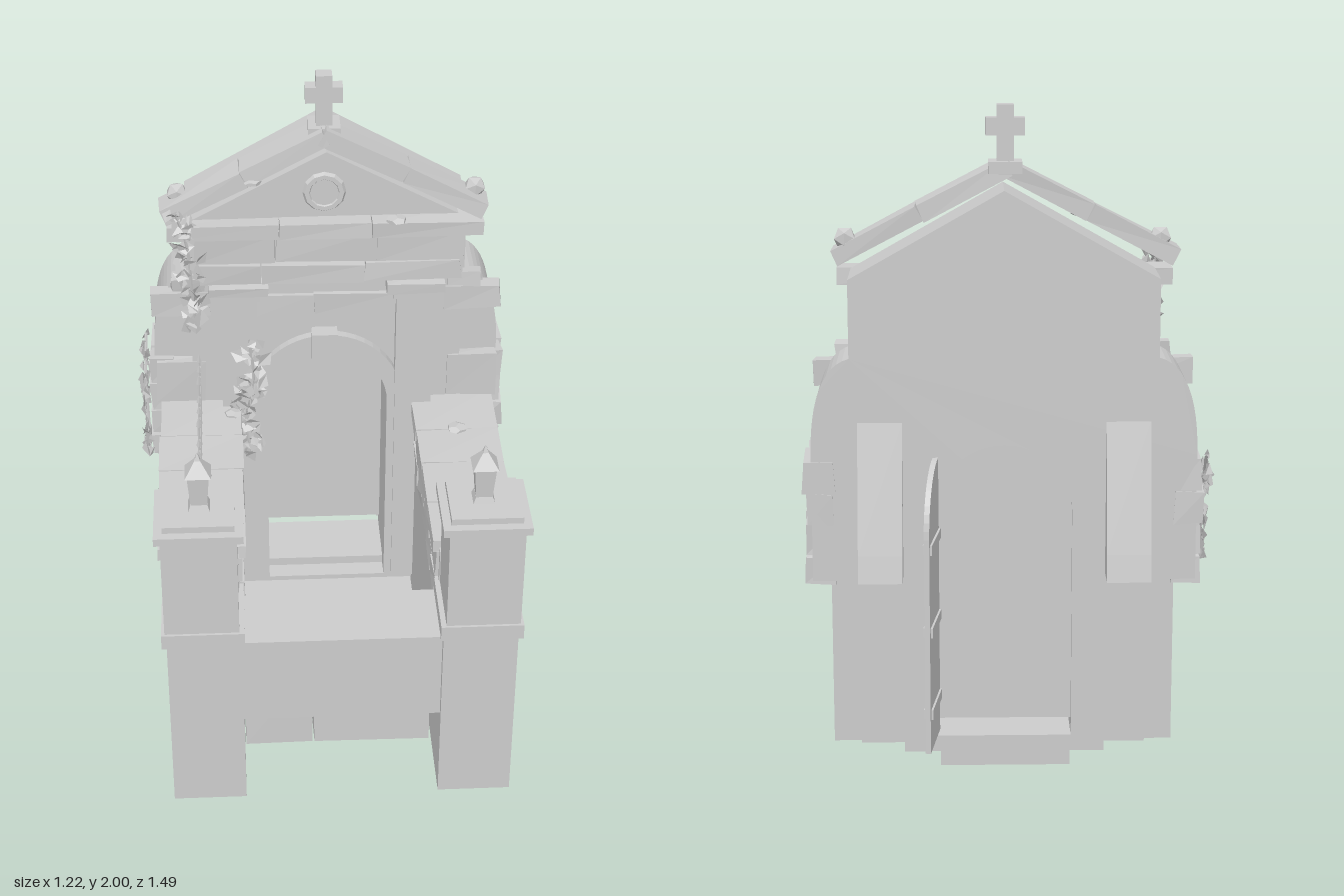
import * as THREE from 'three';

export function createModel() {
  const model = new THREE.Group();
  const stoneMat = new THREE.MeshStandardMaterial({ color: 0xcccccc, side: THREE.DoubleSide, flatShading: true });
  stoneMat.name = 'greyStone';
  let seed = 7;
  const rnd = () => (seed = (seed * 16807) % 2147483647) / 2147483647;
  const jit = (a) => (rnd() - 0.5) * 2 * a;
  const CX = 0.012; // middle line of the building

  const add = (name, geo, x = 0, y = 0, z = 0, parent = model) => {
    const m = new THREE.Mesh(geo, stoneMat);
    m.name = name;
    m.position.set(x, y, z);
    parent.add(m);
    return m;
  };
  // Box given by its limits; wear moves its eight corners a little
  const box = (name, x0, x1, y0, y1, z0, z1, wear = 0, parent = model) => {
    const g = new THREE.BoxGeometry(x1 - x0, y1 - y0, z1 - z0);
    if (wear) {
      const p = g.attributes.position;
      const offsets = {};
      for (let i = 0; i < p.count; i++) {
        const k = [p.getX(i) > 0, p.getY(i) > 0, p.getZ(i) > 0].join();
        const o = (offsets[k] ??= [jit(wear), jit(wear), jit(wear)]);
        p.setXYZ(i, p.getX(i) + o[0], p.getY(i) + o[1], p.getZ(i) + o[2]);
      }
      g.computeVertexNormals();
    }
    return add(name, g, (x0 + x1) / 2, (y0 + y1) / 2, (z0 + z1) / 2, parent);
  };
  // The same box on the chosen side, measured outwards from the middle line
  const sideBox = (name, s, a, b, ...rest) =>
    box(name, CX + (s > 0 ? a : -b), CX + (s > 0 ? b : -a), ...rest);
  const extrude = (name, shape, z0, z1) =>
    add(name, new THREE.ExtrudeGeometry(shape, { depth: z1 - z0, bevelEnabled: false, curveSegments: 12 }), CX, 0, z0);
  const archPath = (path, r, y0, spring) => {
    path.moveTo(-r, y0);
    path.lineTo(r, y0);
    path.lineTo(r, spring);
    path.absarc(0, spring, r, 0, Math.PI, false);
    path.lineTo(-r, y0);
    return path;
  };

  // Side walls, corner pillars and lanterns
  for (const s of [1, -1]) {
    sideBox('wallBase', s, 0.3, 0.525, 0.025, 0.64, -0.325, 0.735);
    sideBox('wallCore', s, 0.305, 0.525, 0.6, 0.8, -0.325, 0.52);
    [[0.615, 0.69, 0], [0.695, 0.78, 0.06]].forEach(([y0, y1, shift]) => {
      let z = 0.5;
      while (z > -0.31) {
        const next = Math.max(z - 0.12 - rnd() * 0.07 - (z === 0.5 ? shift : 0), -0.33);
        sideBox('wallBrick', s, 0.292, 0.537, y0, y1, next + 0.004, z, 0.005);
        z = next;
      }
    });
    const caps = [0.5, 0.3, 0.09, -0.1, -0.33];
    for (let i = 0; i < 4; i++)
      sideBox('wallCap', s, 0.283, 0.55, 0.785, 0.828, caps[i + 1] + 0.003, caps[i], 0.003);

    sideBox('pillarFoot', s, 0.292, 0.54, 0.635, 0.685, 0.5, 0.74);
    sideBox('pillarShaft', s, 0.308, 0.53, 0.68, 1.03, 0.508, 0.732);
    sideBox('pillarCap', s, 0.288, 0.548, 1.02, 1.045, 0.495, 0.742);
    sideBox('pillarCapTop', s, 0.313, 0.523, 1.045, 1.065, 0.515, 0.715);
    const lantern = new THREE.Group();
    lantern.name = 'lantern';
    lantern.position.set(CX + s * 0.415, 1.065, 0.612);
    model.add(lantern);
    const taper = (name, rt, rb, h, y) => {
      add(name, new THREE.CylinderGeometry(rt, rb, h, 4).rotateY(Math.PI / 4), 0, y, 0, lantern);
    };
    taper('lanternFoot', 0.035, 0.045, 0.02, 0.01);
    taper('lanternGlass', 0.045, 0.034, 0.1, 0.07);
    taper('lanternRoof', 0.012, 0.054, 0.045, 0.142);
    taper('lanternTip', 0.001, 0.012, 0.025, 0.176);
  }

  // Front beam, and steps going down to the door
  box('frontBeam', -0.29, 0.31, 0.34, 0.64, 0.5, 0.728);
  const joints = [-0.07, 0.1, -0.08, -0.025, 0.01, -0.08];
  joints.forEach((j, i) => {
    const z1 = 0.495 - i * 0.12, top = 0.34 - i * 0.052;
    box('step', -0.285, j - 0.003, 0.025, top, z1 - 0.118, z1, 0.002);
    box('step', j + 0.003, 0.305, 0.025, top, z1 - 0.118, z1, 0.002);
  });
  box('stepFoot', -0.29, 0.31, 0.025, 0.06, -0.34, -0.22);
  box('threshold', -0.19, 0.205, 0, 0.07, -0.47, -0.41);

  // Back slab with gable, rounded shoulders and arched doorway
  const slab = new THREE.Shape();
  slab.moveTo(-0.3, 0.08);
  slab.lineTo(0.3, 0.08);
  slab.lineTo(0.3, 0.62);
  slab.lineTo(0.565, 0.62);
  slab.lineTo(0.565, 1.0);
  slab.bezierCurveTo(0.565, 1.16, 0.53, 1.27, 0.45, 1.29);
  slab.lineTo(0.45, 1.52);
  slab.lineTo(0, 1.775);
  slab.lineTo(-0.45, 1.52);
  slab.lineTo(-0.45, 1.29);
  slab.bezierCurveTo(-0.53, 1.27, -0.565, 1.16, -0.565, 1.0);
  slab.lineTo(-0.565, 0.62);
  slab.lineTo(-0.3, 0.62);
  slab.holes.push(archPath(new THREE.Path(), 0.2, 0.13, 0.83));
  extrude('backSlab', slab, -0.553, -0.34);
  extrude('doorPanel', archPath(new THREE.Shape(), 0.2, 0.18, 0.83), -0.535, -0.515);

  // Open door leaf with hinge straps
  const leafShape = new THREE.Shape();
  leafShape.moveTo(0, 0.15);
  leafShape.lineTo(0.195, 0.15);
  leafShape.lineTo(0.195, 0.8);
  leafShape.bezierCurveTo(0.195, 0.9, 0.12, 0.99, 0, 0.995);
  const leaf = new THREE.Group();
  leaf.name = 'doorLeaf';
  leaf.position.set(0.205, 0, -0.55);
  leaf.rotation.y = Math.PI / 2 - 0.13;
  model.add(leaf);
  add('leafBoard', new THREE.ExtrudeGeometry(leafShape, { depth: 0.016, bevelEnabled: false }), 0, 0, 0, leaf);
  for (const y of [0.25, 0.5, 0.75]) box('hingeStrap', 0, 0.18, y, y + 0.03, -0.006, 0.022, 0, leaf);

  // Sloping rear buttresses
  const buttress = new THREE.Shape([[0.5, 0.64], [0.65, 0.64], [0.635, 0.72], [0.555, 1.1], [0.5, 1.1]]
    .map(([x, y]) => new THREE.Vector2(x, y)));
  for (const s of [1, -1]) {
    const g = new THREE.ExtrudeGeometry(buttress, { depth: 0.13, bevelEnabled: false });
    g.rotateY(Math.PI / 2).translate(-0.065, 0, 0);
    add('buttress', g, CX + s * 0.363, 0, 0);
  }

  // Front facing wall, arch surround and keystone
  const face = new THREE.Shape([[-0.44, 0.025], [0.44, 0.025], [0.44, 1.5], [-0.44, 1.5]]
    .map(([x, y]) => new THREE.Vector2(x, y)));
  face.holes.push(archPath(new THREE.Path(), 0.2, 0.1, 0.83));
  extrude('facingWall', face, -0.345, -0.305);
  const surround = archPath(new THREE.Shape(), 0.25, 0.1, 0.84);
  surround.holes.push(archPath(new THREE.Path(), 0.2, 0.101, 0.83));
  extrude('archSurround', surround, -0.31, -0.275);
  box('keystone', -0.037, 0.047, 1.0, 1.105, -0.34, -0.25);

  for (const s of [1, -1]) {
    // Pilasters
    sideBox('pilaster', s, 0.225, 0.345, 0.1, 1.25, -0.33, -0.265);
    sideBox('pilasterNeck', s, 0.215, 0.36, 1.235, 1.27, -0.33, -0.25);
    sideBox('pilasterCapital', s, 0.19, 0.38, 1.265, 1.3, -0.34, -0.23, 0.003);
    // Rough stones on the shoulders and flanks
    for (const [a, b, y0, y1] of [[0.38, 0.565, 1.165, 1.245], [0.39, 0.5, 1.25, 1.295], [0.4, 0.56, 0.83, 0.985]])
      sideBox('shoulderStone', s, a, b, y0, y1, -0.35, -0.3, 0.005);
    [[0.605, 0.685], [0.69, 0.785], [0.79, 0.885], [0.89, 0.985]].forEach(([y0, y1], i) => {
      const cut = i % 2 ? -0.4 : -0.46, back = i < 2 ? -0.53 : -0.555;
      sideBox('flankStone', s, 0.5, 0.58 + rnd() * 0.013, y0, y1, cut + 0.004, -0.32, 0.006);
      sideBox('flankStone', s, 0.5, 0.575 + rnd() * 0.013, y0, y1, back, cut, 0.006);
    });
  }
  const course = (name, xs, y0, y1, z1, wear) => {
    for (let i = 0; i + 1 < xs.length; i++) box(name, xs[i] + 0.003, xs[i + 1], y0, y1, -0.345, z1, wear);
  };
  course('wallCourse', [-0.22, -0.03, 0.24], 1.16, 1.235, -0.29, 0.003);
  course('friezeLower', [-0.4, -0.2, 0.13, 0.44], 1.3, 1.365, -0.255, 0.005);
  course('friezeUpper', [-0.41, -0.15, 0.17, 0.45], 1.37, 1.47, -0.265, 0.005);
  course('cornice', [-0.495, -0.14, 0.15, 0.505], 1.47, 1.52, -0.235, 0.003);

  // Pediment with round window, raking blocks and end knobs
  const gable = new THREE.Shape([[-0.43, 1.515], [0.43, 1.515], [0, 1.745]].map(([x, y]) => new THREE.Vector2(x, y)));
  extrude('pediment', gable, -0.345, -0.29);
  add('windowRing', new THREE.TorusGeometry(0.055, 0.014, 6, 12), 0.005, 1.61, -0.288);
  add('windowDisc', new THREE.CylinderGeometry(0.05, 0.05, 0.01, 12).rotateX(Math.PI / 2), 0.005, 1.61, -0.286);
  for (const s of [1, -1]) {
    const rake = new THREE.Group();
    rake.name = 'rakingCornice';
    rake.position.set(0.005, 1.812, -0.292);
    rake.rotation.y = s > 0 ? 0 : Math.PI;
    model.add(rake);
    const slope = new THREE.Group();
    slope.name = 'rakingSlope';
    slope.rotation.z = -0.48;
    rake.add(slope);
    const cuts = [-0.01, 0.285, 0.57];
    for (let i = 0; i < 2; i++)
      box('rakingBlock', cuts[i] + 0.003, cuts[i + 1], -0.027, 0.027, -0.05, 0.05, 0.004, slope);
    add('endKnob', new THREE.IcosahedronGeometry(0.036, 0), CX + s * 0.468, 1.605, -0.31);
  }

  // Cross
  box('crossFoot', -0.045, 0.055, 1.8, 1.835, -0.365, -0.27);
  box('crossStem', -0.02, 0.03, 1.83, 2, -0.34, -0.292);
  box('crossBar', -0.053, 0.063, 1.91, 1.962, -0.34, -0.292);

  // Iron fence on the right-hand wall
  const fx = -0.405;
  const fence = new THREE.Group();
  fence.name = 'fence';
  model.add(fence);
  box('fenceRail', fx - 0.004, fx + 0.004, 1.008, 1.017, -0.27, 0.51, 0, fence);
  for (let i = 0; i < 13; i++) {
    const z = 0.495 - i * 0.06, top = i % 4 === 1 ? 1.065 : 1.035;
    add('fenceBar', new THREE.CylinderGeometry(0.004, 0.004, top - 0.82, 5), fx, (top + 0.82) / 2, z, fence);
    add('fenceTip', new THREE.ConeGeometry(0.008, 0.03, 4), fx, top + 0.012, z, fence);
    add('fenceRing', new THREE.TorusGeometry(0.021, 0.003, 4, 8).rotateY(Math.PI / 2), fx, 0.978, z - 0.03, fence);
  }
  const brace = box('looseBar', -0.005, 0.005, -0.005, 0.005, -0.1, 0.1, 0, fence);
  brace.position.set(fx + 0.01, 0.89, 0.42);
  brace.rotation.x = -0.65;

  // Loose rubble on wall tops and ledges
  for (const [x, y, z, r] of [[0.435, 0.83, 0.395, 0.047], [0.43, 0.83, -0.1, 0.035], [-0.41, 0.83, 0.13, 0.04],
    [-0.22, 1.67, -0.25, 0.03], [0.23, 1.525, -0.25, 0.035], [-0.3, 0.83, -0.22, 0.03]]) {
    const rock = add('rubble', new THREE.DodecahedronGeometry(r, 0), x, y, z);
    rock.scale.y = 0.35;
    rock.rotation.y = rnd() * 3;
  }

  // Ivy: small folded leaves scattered along stems
  const leafGeo = new THREE.BufferGeometry();
  leafGeo.setAttribute('position', new THREE.Float32BufferAttribute(
    [0, -0.02, 0, 0.018, 0.002, 0.006, 0, 0.024, 0, -0.018, 0.002, 0.006], 3));
  leafGeo.setIndex([0, 1, 2, 0, 2, 3]);
  leafGeo.computeVertexNormals();
  const ivy = (pts, n, spread, turn) => {
    const curve = new THREE.CatmullRomCurve3(pts.map((p) => new THREE.Vector3(...p)));
    add('ivyStem', new THREE.TubeGeometry(curve, 16, 0.005, 4));
    for (let i = 0; i < n; i++) {
      const p = curve.getPoint(rnd());
      const l = add('ivyLeaf', leafGeo, p.x + jit(spread[0]), p.y + jit(0.02), p.z + jit(spread[1]));
      l.rotation.set(jit(0.6), turn + jit(0.7), jit(1.5));
      l.scale.setScalar(0.8 + rnd() * 0.7);
    }
  };
  ivy([[-0.46, 1.57, -0.23], [-0.43, 1.45, -0.24], [-0.42, 1.3, -0.24], [-0.41, 1.15, -0.25]], 50, [0.035, 0.012], 0);
  ivy([[-0.24, 1.1, -0.24], [-0.23, 0.95, -0.24], [-0.26, 0.8, -0.24], [-0.24, 0.65, -0.24]], 60, [0.04, 0.012], 0);
  ivy([[-0.585, 0.98, -0.5], [-0.59, 0.85, -0.4], [-0.585, 0.72, -0.36], [-0.585, 0.63, -0.32]], 60, [0.008, 0.07], -Math.PI / 2);

  return model;
}
